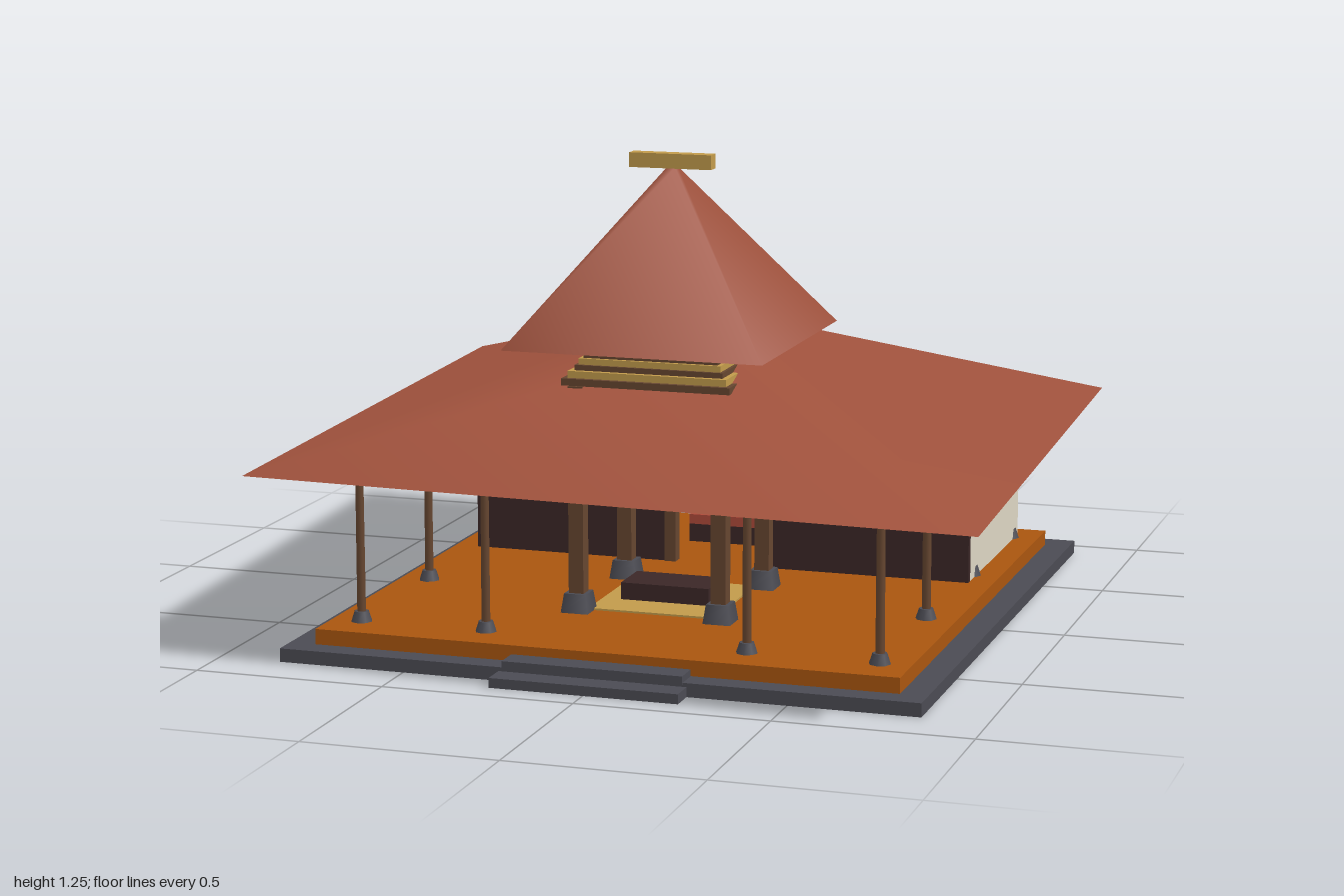
import * as THREE from 'three';

const mat = (name, color) => {
  const m = new THREE.MeshStandardMaterial({ color });
  m.name = name;
  return m;
};

export function createModel() {
  const model = new THREE.Group();
  model.name = 'pavilion';

  const tile = mat('roofTile', 0xa0523d);
  const gold = mat('gold', 0xc29b4b);
  const stone = mat('stone', 0x4b4b53);
  const floor = mat('terracottaFloor', 0xaa560f);
  const plaster = mat('plaster', 0xdcd5c3);
  const darkWood = mat('darkWood', 0x3b2727);
  const wood = mat('wood', 0x664630);
  const cloth = mat('redCloth', 0xb04a3a);

  const add = (name, geo, material, x, y, z) => {
    const mesh = new THREE.Mesh(geo, material);
    mesh.name = name;
    mesh.position.set(x, y, z);
    model.add(mesh);
    return mesh;
  };
  // box given by its min and max on each axis
  const box = (name, material, x0, x1, y0, y1, z0, z1) =>
    add(name, new THREE.BoxGeometry(x1 - x0, y1 - y0, z1 - z0), material,
      (x0 + x1) / 2, (y0 + y1) / 2, (z0 + z1) / 2);

  // terraced base and front steps
  box('stonePlinth', stone, -0.835, 0.835, 0, 0.035, -0.915, 0.862);
  box('floorTerrace', floor, -0.765, 0.765, 0.035, 0.075, -0.845, 0.797);
  box('lowerStep', stone, -0.245, 0.245, 0, 0.025, 0.84, 0.93);
  box('upperStep', stone, -0.235, 0.235, 0.03, 0.052, 0.79, 0.866);

  // columns on flared stone feet
  const outerColumn = (x, z) => {
    add('columnFoot', new THREE.CylinderGeometry(0.019, 0.028, 0.027, 8), stone, x, 0.0885, z);
    add('outerColumn', new THREE.CylinderGeometry(0.011, 0.012, 0.41, 8), wood, x, 0.28, z);
  };
  for (const side of [-1, 1]) {
    for (const z of [0.685, 0.222, -0.27, -0.735]) outerColumn(side * 0.685, z);
    for (const z of [0.685, -0.735]) outerColumn(side * 0.345, z);
    for (const z of [0.415, 0.03]) {
      const x = side * 0.192;
      add('mainColumnFoot', new THREE.CylinderGeometry(0.042, 0.052, 0.05, 4), stone, x, 0.1, z)
        .rotation.y = Math.PI / 4;
      box('mainColumn', wood, x - 0.02, x + 0.02, 0.12, 0.668, z - 0.02, z + 0.02);
    }
  }

  // mat and low bench in the open hall
  box('floorMat', gold, -0.17, 0.17, 0.075, 0.08, 0.04, 0.4);
  box('lowBench', darkWood, -0.12, 0.12, 0.078, 0.125, 0.155, 0.288);

  // enclosed room with wooden front and doorway
  for (const s of [-1, 1]) {
    add('sideWall', new THREE.BoxGeometry(0.025, 0.41, 0.575), plaster, s * 0.6875, 0.28, -0.4875);
    add('frontPanel', new THREE.BoxGeometry(0.55, 0.41, 0.022), darkWood, s * 0.425, 0.28, -0.189);
    add('doorPost', new THREE.BoxGeometry(0.032, 0.41, 0.034), wood, s * 0.136, 0.28, -0.189);
  }
  box('backWall', plaster, -0.675, 0.675, 0.075, 0.485, -0.775, -0.75);
  box('doorLintel', gold, -0.155, 0.155, 0.405, 0.485, -0.205, -0.17);

  // bed inside the room
  box('bedFrame', darkWood, -0.16, 0.16, 0.075, 0.125, -0.68, -0.42);
  box('bedCover', cloth, -0.16, 0.16, 0.125, 0.152, -0.68, -0.42);
  box('bedHeadboard', gold, -0.12, 0.12, 0.125, 0.174, -0.7, -0.68);

  // broad lower roof, stretched along one diagonal
  const lower = add('lowerRoof',
    new THREE.CylinderGeometry(0.193, 1.283, 0.285, 4), tile, 0, 0.6275, 0);
  lower.scale.z = 1.102;
  lower.rotation.y = Math.PI / 4;

  // stacked beams between the roofs
  const tiers = [
    [0.225, 0.672, 0.69, wood], [0.212, 0.69, 0.708, gold],
    [0.198, 0.708, 0.722, wood], [0.19, 0.722, 0.738, gold],
    [0.18, 0.738, 0.748, wood], [0.172, 0.748, 0.764, gold],
    [0.16, 0.764, 0.778, wood],
  ];
  for (const [h, y0, y1, m] of tiers) box('beamTier', m, -h, h, y0, y1, 0.222 - h, 0.222 + h);

  // steep upper roof with ridge beam
  add('upperRoof', new THREE.CylinderGeometry(0.015, 0.488, 0.44, 4), tile, 0, 0.995, 0.217)
    .rotation.y = Math.PI / 4;
  box('ridgeBeam', gold, -0.11, 0.11, 1.212, 1.25, 0.2, 0.238);

  return model;
}
